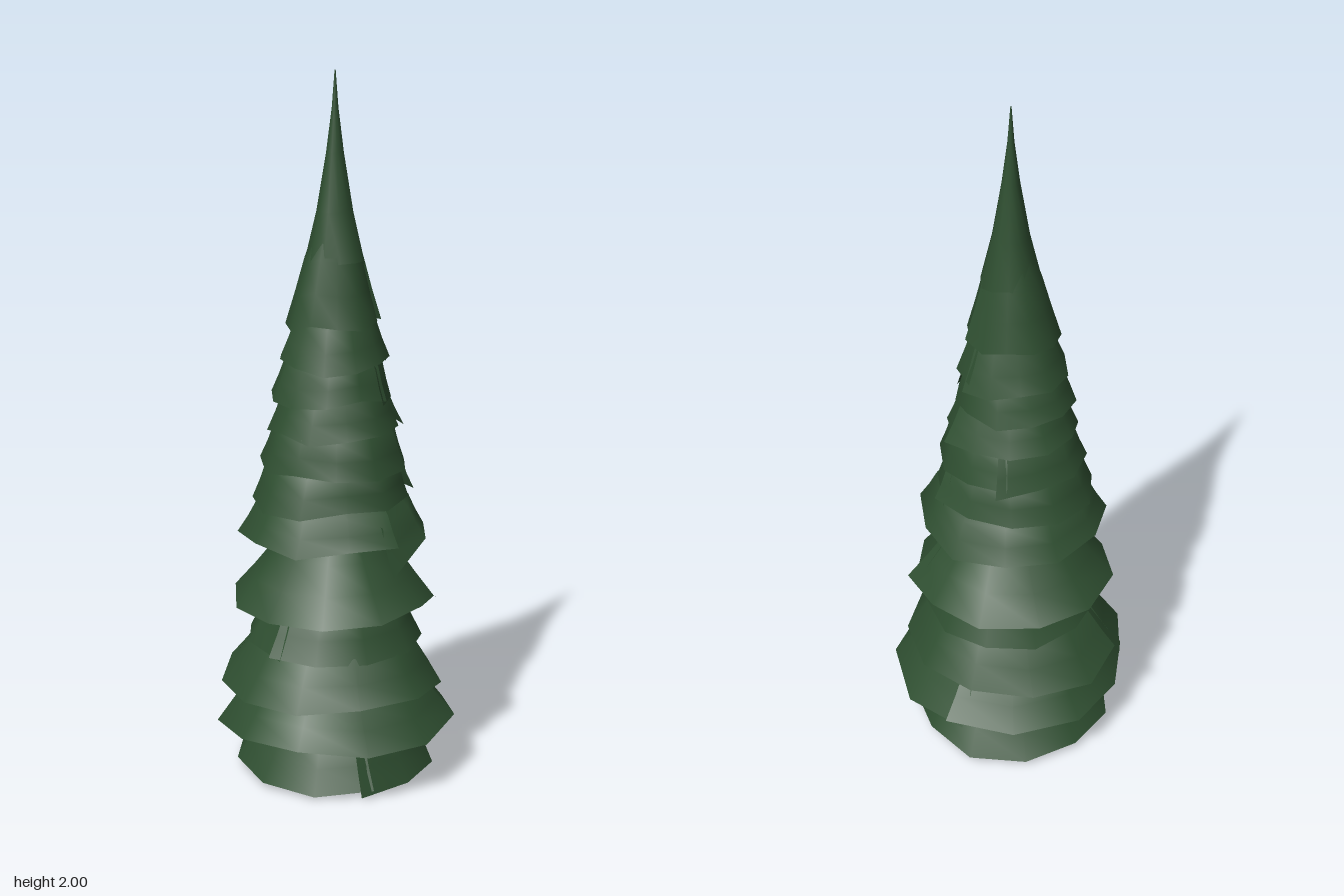
import * as THREE from 'three';

const needleGreen = new THREE.MeshStandardMaterial({ color: 0x2f4f31, side: THREE.DoubleSide });
needleGreen.name = 'needle green';

// Small seeded generator for the ragged hems
function seeded(seed) {
  let s = seed * 7919 + 17;
  return () => {
    s = (s * 16807) % 2147483647;
    return s / 2147483647;
  };
}

// Open skirt of boughs: rings listed from top to hem as [radius, y].
// The strip wraps a little past one turn, so its loose end overlaps at the seam.
function skirt({ rings, seam, cx = 0, cz = 0, flare = 0.06, drop = 0, rag = 0.014, seed, sides = 11 }) {
  const rand = seeded(seed);
  rand();
  const hem = Array.from({ length: sides + 1 }, () => [1 + (rand() - 0.5) * 0.06, (rand() - 0.5) * 2 * rag]);
  const pos = [], index = [];
  const last = rings.length - 1;
  rings.forEach(([r, y], i) => {
    const k = i / last;
    for (let j = 0; j <= sides; j++) {
      const a = seam + (j / sides) * (Math.PI * 2 + 0.14);
      const end = j === sides ? k : 0;
      const radius = r * (1 + (hem[j][0] - 1) * k + flare * end);
      pos.push(cx * k + Math.cos(a) * radius, y + hem[j][1] * k * k - drop * end, cz * k + Math.sin(a) * radius);
    }
  });
  const w = sides + 1;
  for (let i = 0; i < last; i++) {
    for (let j = 0; j < sides; j++) {
      const a = i * w + j, c = a + w;
      index.push(a, a + 1, c, a + 1, c + 1, c);
    }
  }
  const g = new THREE.BufferGeometry();
  g.setAttribute('position', new THREE.Float32BufferAttribute(pos, 3));
  g.setIndex(index);
  g.computeVertexNormals();
  return g;
}

export function createModel() {
  const tree = new THREE.Group();
  tree.name = 'conifer';
  const add = (geometry, name) => {
    const m = new THREE.Mesh(geometry, needleGreen);
    m.name = name;
    tree.add(m);
    return m;
  };

  // Slim trunk hidden inside the boughs
  add(new THREE.CylinderGeometry(0.008, 0.026, 1.8, 8), 'trunk').position.y = 0.9;

  // Tiers: hem y, hem radius, shoulder radius, shoulder y, seam angle, centre x, centre z, seam drop
  const tiers = [
    [0.02, 0.285, 0.21, 0.15, 1.57, 0.01, -0.03, 0.0],
    [0.16, 0.34, 0.25, 0.28, -0.65, 0.0, 0.0, 0.01],
    [0.27, 0.315, 0.23, 0.4, -2.4, -0.01, -0.01, 0.0],
    [0.39, 0.245, 0.19, 0.52, 2.6, 0.0, -0.01, 0.0],
    [0.51, 0.29, 0.175, 0.66, 0.3, 0.0, -0.02, 0.015],
    [0.71, 0.265, 0.215, 0.8, 1.2, 0.0, -0.01, 0.06],
    [0.81, 0.225, 0.19, 0.91, 0.0, -0.01, -0.01, 0.01],
    [0.91, 0.205, 0.17, 1.01, -1.0, 0.0, -0.01, 0.01],
    [1.01, 0.185, 0.145, 1.11, 0.0, 0.0, -0.01, 0.01],
    [1.11, 0.17, 0.138, 1.2, 0.85, -0.01, -0.01, 0.01],
    [1.2, 0.155, 0.115, 1.31, -0.2, 0.0, -0.01, 0.01],
    [1.31, 0.128, 0.08, 1.49, 0.1, -0.005, -0.005, 0.01],
  ];
  tiers.forEach(([y, r, sr, sy, seam, cx, cz, drop], n) => {
    const rings = [
      [0.03, sy + 0.22],
      [sr * 0.6, sy + 0.1],
      [sr, sy],
      [(sr + r) * 0.495, (sy + y) / 2],
      [r, y],
    ];
    add(skirt({ rings, seam, cx, cz, drop, seed: n + 1 }), `boughTier${n + 1}`);
  });

  // Tall concave spire
  const spire = [[0.0015, 2], [0.009, 1.9], [0.024, 1.78], [0.05, 1.62], [0.082, 1.48]];
  add(skirt({ rings: spire, seam: 0.6, flare: 0.03, seed: 20 }), 'spire');
  return tree;
}
